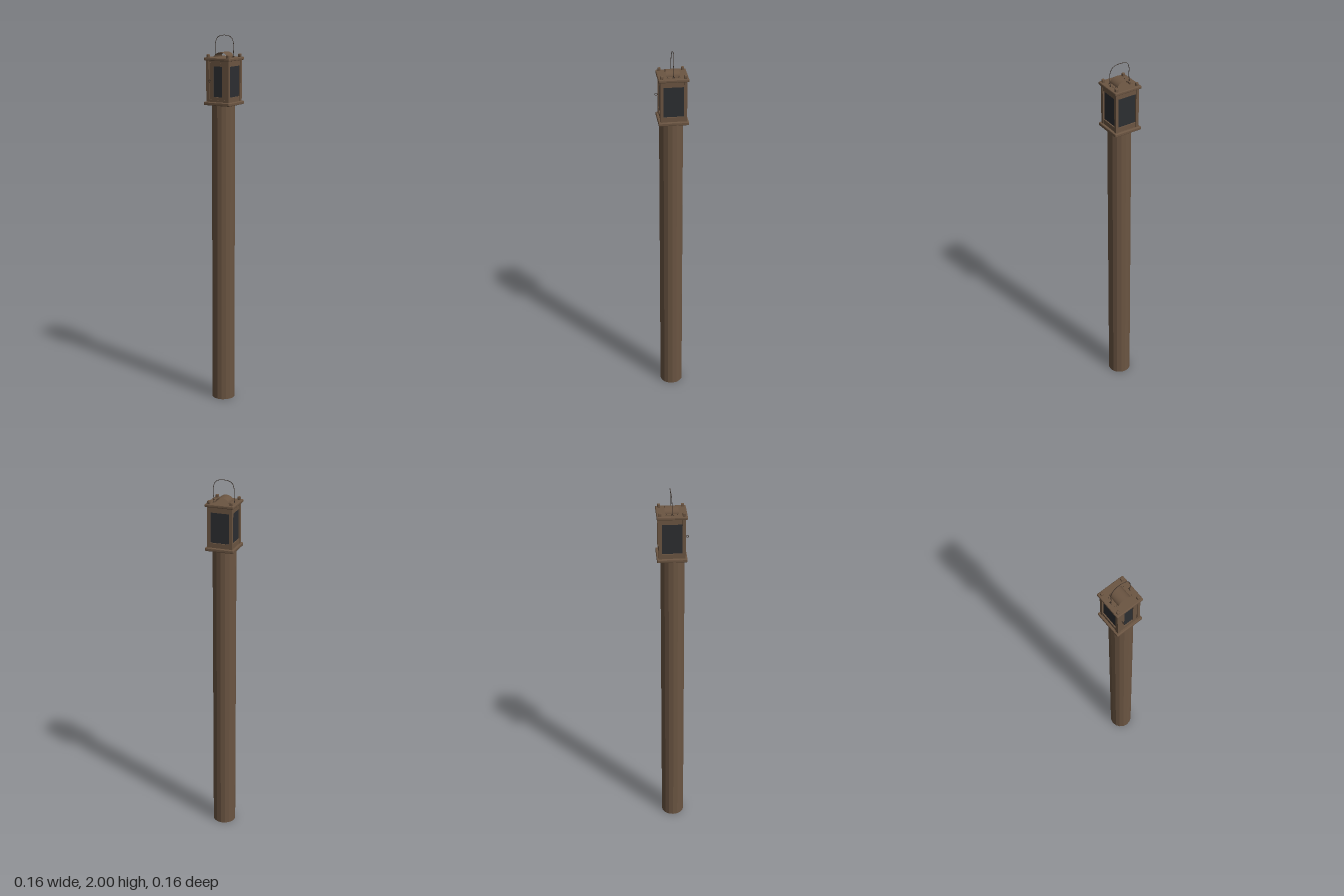
import * as THREE from 'three';
import { RoundedBoxGeometry } from 'three/addons/geometries/RoundedBoxGeometry.js';

export function createModel() {
  const wood = new THREE.MeshStandardMaterial({ color: 0x6b5542 });
  wood.name = 'brown wood';
  wood.flatShading = true;
  const arched = new THREE.MeshStandardMaterial({ color: 0x6b5542, side: THREE.DoubleSide });
  arched.name = 'bent brown sheet';
  const glass = new THREE.MeshStandardMaterial({ color: 0x2c2e31 });
  glass.name = 'dark glass';
  const iron = new THREE.MeshStandardMaterial({ color: 0x3a3029 });
  iron.name = 'dark iron';

  const model = new THREE.Group();
  model.name = 'lanternPost';
  const lantern = new THREE.Group();
  lantern.name = 'lantern';
  lantern.position.z = -0.006;
  model.add(lantern);

  const add = (parent, name, geometry, material, x = 0, y = 0, z = 0) => {
    const mesh = new THREE.Mesh(geometry, material);
    mesh.name = name;
    mesh.position.set(x, y, z);
    parent.add(mesh);
    return mesh;
  };
  const box = (parent, name, w, h, d, x, y, z, material = wood) =>
    add(parent, name, new THREE.BoxGeometry(w, h, d), material, x, y, z);

  // Round post
  add(model, 'post', new THREE.CylinderGeometry(0.062, 0.062, 1.64, 16), wood, 0, 0.82, 0);

  // Floor and roof plates
  add(lantern, 'floorPlate', new RoundedBoxGeometry(0.155, 0.018, 0.155, 1, 0.004), wood, 0, 1.645, 0);
  add(lantern, 'roofPlate', new RoundedBoxGeometry(0.155, 0.016, 0.155, 1, 0.004), wood, 0, 1.877, 0);

  // Corner posts with peg ends showing above the roof
  for (const x of [-0.06, 0.06]) {
    for (const z of [-0.06, 0.06]) {
      box(lantern, 'cornerPost', 0.016, 0.22, 0.016, x, 1.761, z);
      add(lantern, 'peg', new RoundedBoxGeometry(0.015, 0.018, 0.015, 1, 0.003), wood, x, 1.892, z);
    }
  }

  // Glazed walls: back, left and right
  for (const [name, angle] of [['leftWall', Math.PI / 2], ['backWall', Math.PI], ['rightWall', -Math.PI / 2]]) {
    const wall = new THREE.Group();
    wall.name = name;
    wall.rotation.y = angle;
    lantern.add(wall);
    box(wall, 'lowerRail', 0.106, 0.026, 0.012, 0, 1.666, 0.059);
    box(wall, 'upperRail', 0.106, 0.03, 0.012, 0, 1.855, 0.059);
    box(wall, 'pane', 0.106, 0.164, 0.004, 0, 1.76, 0.057, glass);
  }

  // Framed door at the front
  const door = new THREE.Group();
  door.name = 'door';
  lantern.add(door);
  box(door, 'sill', 0.106, 0.012, 0.012, 0, 1.659, 0.059);
  box(door, 'lintel', 0.106, 0.012, 0.012, 0, 1.864, 0.059);
  for (const s of [-1, 1]) box(door, 'stile', 0.023, 0.192, 0.012, s * 0.0385, 1.7615, 0.06);
  box(door, 'bottomRail', 0.054, 0.015, 0.012, 0, 1.673, 0.06);
  box(door, 'topRail', 0.054, 0.018, 0.012, 0, 1.849, 0.06);
  box(door, 'doorPane', 0.056, 0.162, 0.004, 0, 1.76, 0.059, glass);

  // Ring pull on the door
  const ring = add(door, 'ringPull', new THREE.TorusGeometry(0.0065, 0.0014, 6, 14), iron, -0.041, 1.765, 0.078);
  ring.rotation.y = Math.PI / 2;
  box(door, 'ringPin', 0.004, 0.004, 0.01, -0.041, 1.765, 0.069, iron);

  // Arched heat shield over the roof, open at both ends
  const shield = add(lantern, 'heatShield',
    new THREE.CylinderGeometry(0.037, 0.037, 0.07, 16, 1, true, Math.PI / 2, Math.PI), arched, 0, 1.884, 0);
  shield.rotation.x = Math.PI / 2;
  shield.scale.z = 0.75;
  for (const s of [-1, 1]) {
    box(lantern, 'shieldFlange', 0.014, 0.002, 0.07, s * 0.043, 1.8855, 0);
    for (const z of [-0.028, 0.028])
      add(lantern, 'nail', new THREE.CylinderGeometry(0.002, 0.002, 0.004, 6), iron, s * 0.045, 1.887, z);
    // Staple holding the carrying wire
    const staple = add(lantern, 'staple', new THREE.TorusGeometry(0.005, 0.0014, 6, 12), iron, s * 0.056, 1.887, 0);
    staple.rotation.y = Math.PI / 2;
  }

  // Carrying wire
  const wire = new THREE.CatmullRomCurve3([
    [-0.056, 1.887, 0], [-0.053, 1.92, 0.001], [-0.053, 1.96, -0.001], [-0.04, 1.988, -0.003],
    [0, 1.9985, -0.006], [0.042, 1.988, -0.003], [0.057, 1.96, 0], [0.059, 1.92, 0.002], [0.056, 1.887, 0],
  ].map((p) => new THREE.Vector3(...p)));
  add(lantern, 'carryingWire', new THREE.TubeGeometry(wire, 40, 0.0015, 6), iron);

  return model;
}
